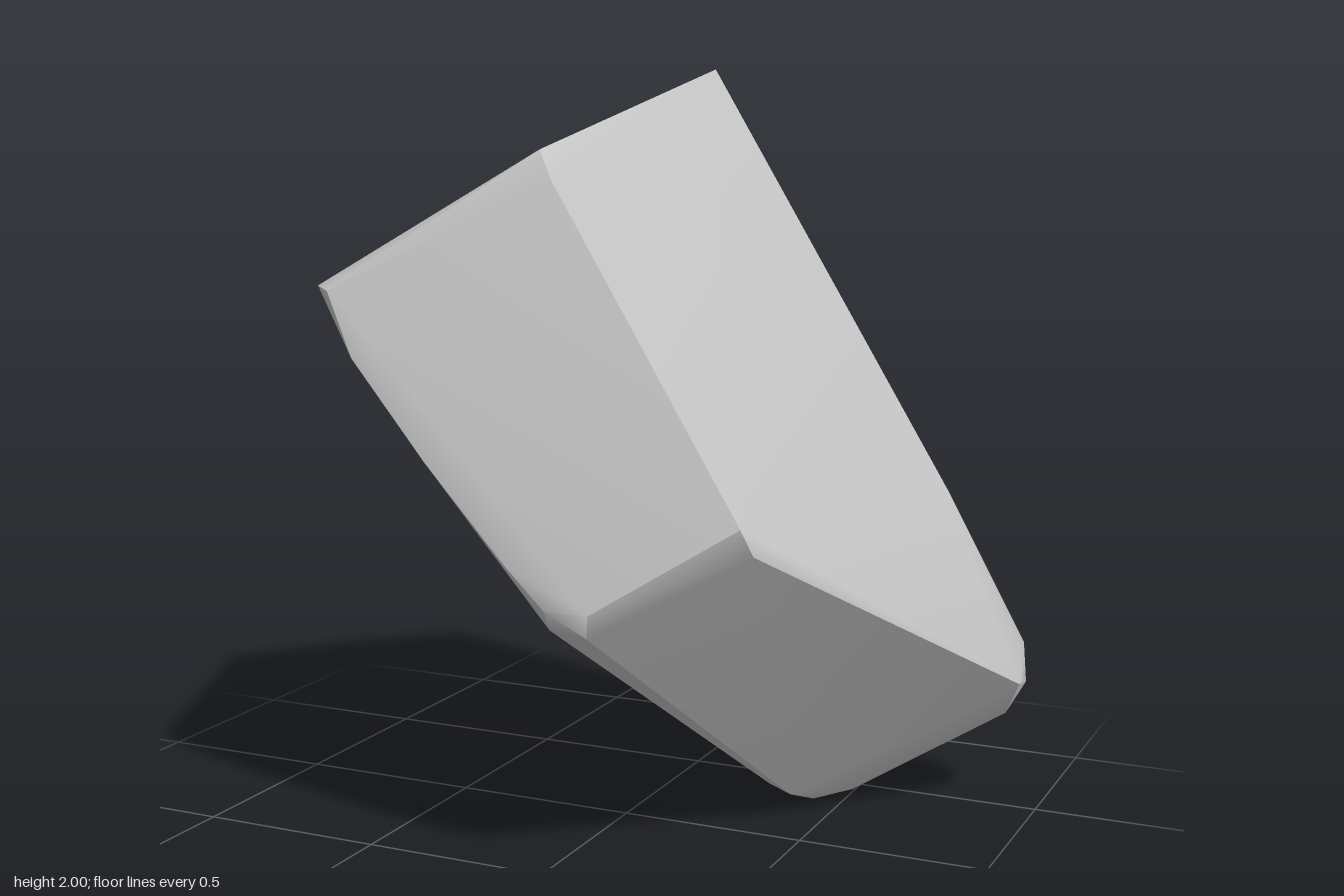
import * as THREE from 'three';
import { ConvexGeometry } from 'three/addons/geometries/ConvexGeometry.js';

// Smooth normals weighted by face area, kept sharp where faces meet above the crease angle
function softenFacets(geometry, creaseAngle) {
  const pos = geometry.attributes.position;
  const corners = [];
  for (let i = 0; i < pos.count; i++) corners.push(new THREE.Vector3().fromBufferAttribute(pos, i));
  const faceNormals = [];
  for (let i = 0; i < corners.length; i += 3) {
    const ab = corners[i + 1].clone().sub(corners[i]);
    faceNormals.push(ab.cross(corners[i + 2].clone().sub(corners[i])));
  }
  corners.forEach((corner, i) => {
    const own = faceNormals[Math.floor(i / 3)];
    const sum = new THREE.Vector3();
    corners.forEach((other, j) => {
      const n = faceNormals[Math.floor(j / 3)];
      if (other.distanceToSquared(corner) < 1e-10 && n.angleTo(own) < creaseAngle) sum.add(n);
    });
    sum.normalize();
    geometry.attributes.normal.setXYZ(i, sum.x, sum.y, sum.z);
  });
  return geometry;
}

export function createModel() {
  const group = new THREE.Group();
  group.name = 'rock';
  const stone = new THREE.MeshStandardMaterial({ color: 0xc4c4c4 });
  stone.name = 'stone grey';

  // Outline of the flat sloping back; depth follows from the plane
  const curvedSide = new THREE.SplineCurve([
    [-0.97, 1.38], [-0.79, 1.13], [-0.61, 0.91], [-0.39, 0.67],
    [-0.18, 0.45], [0.03, 0.25], [0.23, 0.08],
  ].map((p) => new THREE.Vector2(...p))).getPoints(14).map((p) => [p.x, p.y]);
  const backOutline = [
    ...curvedSide, [0.30, 0.035], [0.36, 0.01], [0.42, 0], [0.52, 0.03],
    [0.90, 0.25], [0.945, 0.335], [0.93, 0.44], [0.60, 0.95], [-0.40, 1.72],
  ].map(([x, y]) => [x, y, -(0.156 + 0.236 * x + 0.211 * y) / 0.779]);

  // Peak and the bevel down the right of the back
  const ridge = [
    [0.04, 2, -0.5], [0, 1.96, -0.64], [0.76, 0.88, -0.41],
    [0.95, 0.43, -0.51], [0.965, 0.37, -0.42],
  ];

  // Raised front face with its softened rim
  const frontFace = [
    [-0.06, 1.79, 0.37], [0, 1.72, 0.43], [0.52, 0.92, 0.49], [0.54, 0.85, 0.455],
    [0.18, 0.65, 0.61], [0.19, 0.71, 0.625], [0.08, 0.71, 0.632], [-0.02, 0.81, 0.637],
    [-0.24, 1.05, 0.639], [-0.44, 1.29, 0.637], [-0.51, 1.45, 0.63], [-0.555, 1.46, 0.60],
  ];

  // Lower tip of the underside
  const underside = [[0.41, 0.06, -0.17], [0.08, 0.66, 0.605]];

  const points = [...backOutline, ...ridge, ...frontFace, ...underside]
    .map((p) => new THREE.Vector3(...p));
  const body = new THREE.Mesh(softenFacets(new ConvexGeometry(points), 0.55), stone);
  body.name = 'rockBody';
  group.add(body);
  return group;
}
